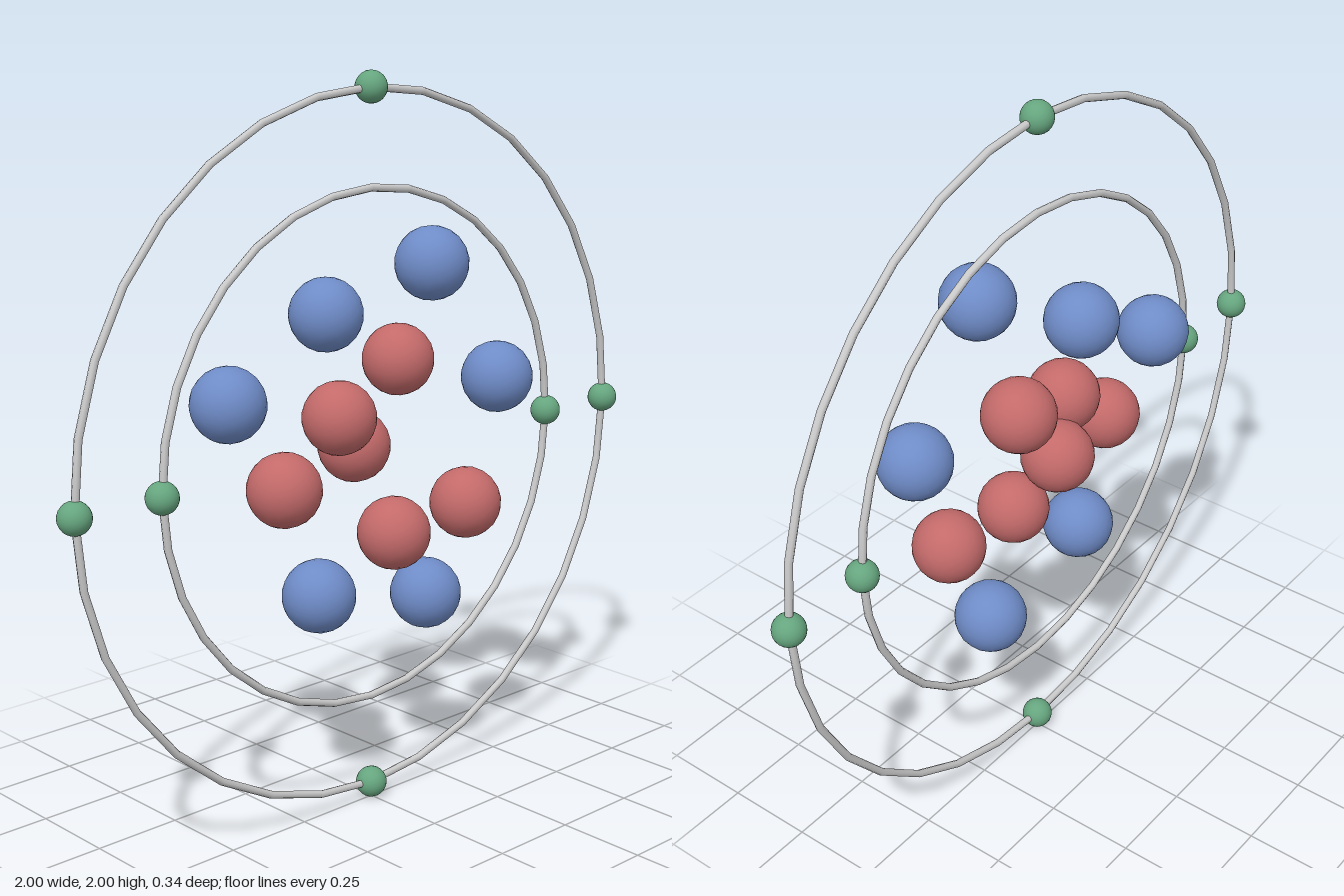
import * as THREE from 'three';

const CENTRE_Y = 1;
const GOLDEN_ANGLE = THREE.MathUtils.degToRad(137.5);

export function createModel() {
  const model = new THREE.Group();
  model.name = 'atomModel';

  const red = new THREE.MeshStandardMaterial({ color: 0xc46a6a });
  const blue = new THREE.MeshStandardMaterial({ color: 0x6f8cc8 });
  const green = new THREE.MeshStandardMaterial({ color: 0x66a67f });
  const grey = new THREE.MeshStandardMaterial({ color: 0xcccccc });

  // Nucleus: a golden-angle spiral of balls, staggered over three depth layers
  const nucleus = new THREE.Group();
  nucleus.name = 'nucleus';
  nucleus.position.y = CENTRE_Y;
  model.add(nucleus);
  const nucleonGeometry = new THREE.IcosahedronGeometry(0.1, 3);
  for (let i = 0; i < 12; i++) {
    const isProton = i < 6;
    const ball = new THREE.Mesh(nucleonGeometry, isProton ? red : blue);
    ball.name = isProton ? 'proton' : 'neutron';
    const r = 0.1565 * Math.sqrt(i);
    const a = i * GOLDEN_ANGLE;
    ball.position.set(r * Math.cos(a), r * Math.sin(a), ((i % 3) - 1) * 0.068);
    nucleus.add(ball);
  }

  // Shells: a thin ring with electrons spaced evenly around it
  const electronGeometry = new THREE.IcosahedronGeometry(0.043, 3);
  function addShell(name, radius, electronCount) {
    const shell = new THREE.Group();
    shell.name = name;
    shell.position.y = CENTRE_Y;
    const ring = new THREE.Mesh(new THREE.TorusGeometry(radius, 0.0105, 8, 32), grey);
    ring.name = 'orbitRing';
    shell.add(ring);
    for (let i = 0; i < electronCount; i++) {
      const a = (i / electronCount) * Math.PI * 2;
      const electron = new THREE.Mesh(electronGeometry, green);
      electron.name = 'electron';
      electron.position.set(radius * Math.cos(a), radius * Math.sin(a), 0);
      shell.add(electron);
    }
    model.add(shell);
  }
  addShell('innerShell', 0.7, 2);
  addShell('outerShell', 0.957, 4);

  return model;
}
